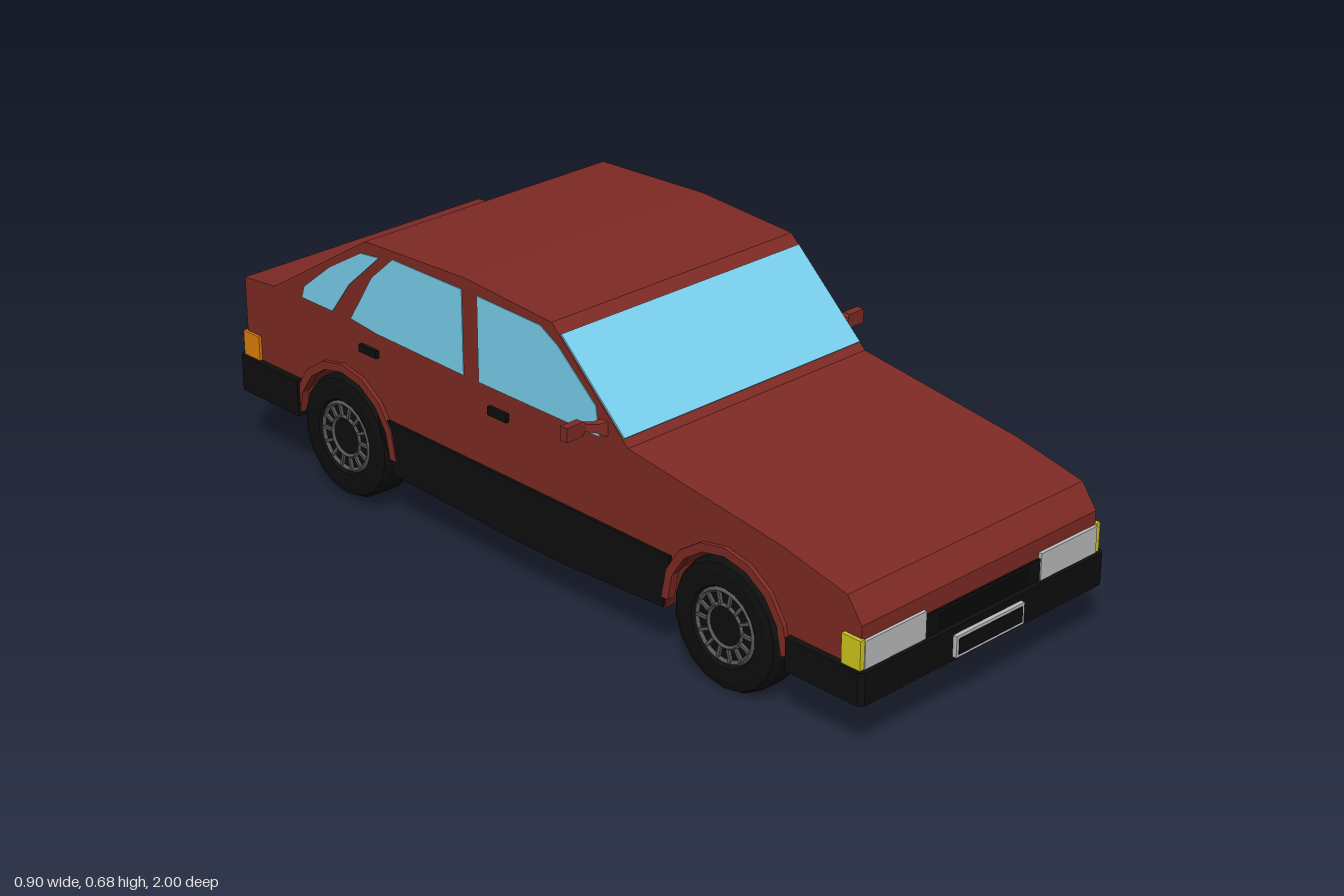
import * as THREE from 'three';

const mat = (color) => new THREE.MeshStandardMaterial({ color, flatShading: true });
const RED = mat(0x7e2a24), BLACK = mat(0x0e0e0e), GLASS = mat(0x78d0ee), GREY = mat(0xbbbbbb),
  RIM = mat(0x555555), YELLOW = mat(0xd0c81c), ORANGE = mat(0xe0800c), LAMP = mat(0xc80c10);

export function createModel() {
  const car = new THREE.Group();
  car.name = 'car';

  const add = (name, geo, material, parent = car) => {
    const m = new THREE.Mesh(geo, material);
    m.name = name;
    parent.add(m);
    return m;
  };
  const box = (name, x0, x1, y0, y1, z0, z1, material) => add(name,
    new THREE.BoxGeometry(x1 - x0, y1 - y0, z1 - z0)
      .translate((x0 + x1) / 2, (y0 + y1) / 2, (z0 + z1) / 2), material);
  // Outline given as [z, y], extruded from x0 to x1
  const profile = (name, pts, x0, x1, material) => {
    const shape = new THREE.Shape(pts.map(([z, y]) => new THREE.Vector2(-z, y)));
    const geo = new THREE.ExtrudeGeometry(shape, { depth: x1 - x0, bevelEnabled: false });
    return add(name, geo.rotateY(Math.PI / 2).translate(x0, 0, 0), material);
  };
  // The same outline on both flanks
  const flanks = (name, pts, x0, x1, material) => {
    profile('left' + name, pts, x0, x1, material);
    profile('right' + name, pts, -x1, -x0, material);
  };
  // Thin pane lying on the slope from a to b
  const pane = (name, a, b, halfWidth, material) => {
    const d = new THREE.Vector2(b[0] - a[0], b[1] - a[1]).normalize().multiplyScalar(0.004);
    const out = ([z, y]) => [z + d.y, y - d.x], inn = ([z, y]) => [z - d.y, y + d.x];
    profile(name, [out(a), out(b), inn(b), inn(a)], -halfWidth, halfWidth, material);
  };
  const arc = (z, y, r, from = Math.PI, to = 0, n = 8) => Array.from({ length: n + 1 }, (_, i) => {
    const a = from + (to - from) * i / n;
    return [z + r * Math.cos(a), y + r * Math.sin(a)];
  });

  const axles = [{ name: 'front', z: 0.6, y: 0.155 }, { name: 'rear', z: -0.62, y: 0.165 }];

  // Body shell with the wheel wells cut across it
  profile('body', [
    [0.97, 0.14], [0.97, 0.3], [0.93, 0.355], [0.75, 0.395], [0.31, 0.455], [0.08, 0.667],
    [-0.2, 0.684], [-0.53, 0.67], [-0.87, 0.46], [-0.98, 0.45], [-0.98, 0.175], [-0.79, 0.16],
    ...arc(-0.62, 0.165, 0.168), [-0.445, 0.13], [-0.1, 0.118], [0.1, 0.115], [0.42, 0.125],
    ...arc(0.6, 0.155, 0.168), [0.78, 0.14],
  ], -0.36, 0.36, RED);

  // Wheel arch lips
  for (const { name, z, y } of axles) {
    flanks(name + 'ArchLip', [...arc(z, y, 0.182), ...arc(z, y, 0.162, 0, Math.PI)], 0.35, 0.37, RED);
  }

  // Sills
  flanks('Sill', [[0.44, 0.255], [0.42, 0.13], [0.1, 0.115], [-0.1, 0.117], [-0.445, 0.128],
    [-0.49, 0.225], [-0.5, 0.258]], 0.35, 0.367, BLACK);

  // Glass
  pane('windshield', [0.294, 0.47], [0.104, 0.645], 0.357, GLASS);
  pane('rearWindow', [-0.57, 0.645], [-0.85, 0.472], 0.325, GLASS);
  flanks('FrontWindow', [[0.225, 0.453], [0.215, 0.52], [0.1, 0.62], [0.045, 0.65],
    [-0.155, 0.655], [-0.155, 0.453]], 0.355, 0.362, GLASS);
  flanks('RearDoorWindow', [[-0.205, 0.655], [-0.435, 0.655], [-0.51, 0.59], [-0.59, 0.467],
    [-0.5, 0.458], [-0.205, 0.453]], 0.355, 0.362, GLASS);
  flanks('QuarterWindow', [[-0.482, 0.645], [-0.545, 0.638], [-0.66, 0.57], [-0.755, 0.495],
    [-0.765, 0.465], [-0.655, 0.465], [-0.59, 0.55]], 0.355, 0.362, GLASS);

  // Bumpers: a bar with returns along the flanks
  const bumper = (name, s, end, back, y0, y1) => {
    const w = 0.376, t = 0.03;
    const u = [[-w, back], [-w, end - 0.01], [-w + 0.01, end], [w - 0.01, end], [w, end - 0.01], [w, back],
      [w - t, back], [w - t, end - t], [-w + t, end - t], [-w + t, back]];
    const shape = new THREE.Shape(u.map(([x, z]) => new THREE.Vector2(x, -s * z)));
    const geo = new THREE.ExtrudeGeometry(shape, { depth: y1 - y0, bevelEnabled: false });
    add(name, geo.rotateX(-Math.PI / 2).translate(0, y0, 0), BLACK);
  };
  bumper('frontBumper', 1, 0.988, 0.78, 0.13, 0.205);
  bumper('rearBumper', -1, 0.998, 0.78, 0.165, 0.255);

  // Grille with slats
  box('grille', -0.18, 0.18, 0.2, 0.255, 0.96, 0.975, BLACK);
  for (let i = 0; i < 3; i++) {
    box('grilleSlat', -0.135, 0.135, 0.212 + i * 0.014, 0.218 + i * 0.014, 0.97, 0.979, BLACK);
  }

  // Number plates with a pale frame
  const plate = (name, w, y0, y1, z, s) => {
    const b = 0.007;
    box(name + 'Frame', -w, w, y0, y1, z - 0.006, z + 0.006, GREY);
    box(name, -w + b, w - b, y0 + b, y1 - b, z + s * 0.004 - 0.004, z + s * 0.004 + 0.004, BLACK);
  };
  plate('frontPlate', 0.105, 0.14, 0.19, 0.992, 1);
  plate('rearPlate', 0.09, 0.262, 0.312, -0.983, -1);

  for (const s of [1, -1]) {
    const side = s > 0 ? 'left' : 'right';
    const sbox = (name, a, b, ...rest) => box(side + name, Math.min(s * a, s * b), Math.max(s * a, s * b), ...rest);

    // Lamps
    sbox('Headlight', 0.177, 0.357, 0.204, 0.268, 0.95, 0.978, GREY);
    sbox('FrontIndicator', 0.357, 0.369, 0.204, 0.272, 0.925, 0.976, YELLOW);
    sbox('RearIndicator', 0.322, 0.367, 0.255, 0.315, -0.988, -0.93, ORANGE);
    sbox('OuterTailLight', 0.262, 0.322, 0.255, 0.31, -0.987, -0.97, LAMP);
    sbox('ReverseLight', 0.228, 0.262, 0.255, 0.31, -0.987, -0.97, GREY);
    sbox('InnerTailLight', 0.17, 0.228, 0.255, 0.31, -0.987, -0.97, LAMP);

    // Door handles
    sbox('FrontHandle', 0.355, 0.37, 0.39, 0.41, -0.12, -0.06, BLACK);
    sbox('RearHandle', 0.355, 0.37, 0.4, 0.418, -0.555, -0.495, BLACK);

    // Mirror: tapered arm, swept back towards the head
    const outline = [[0.355, 0.457], [0.375, 0.47], [0.4, 0.477], [0.403, 0.467], [0.45, 0.467],
      [0.45, 0.5], [0.403, 0.5], [0.398, 0.493], [0.375, 0.491], [0.355, 0.498]];
    const shape = new THREE.Shape(outline.map(([x, y]) => new THREE.Vector2(s * x, y)));
    const geo = new THREE.ExtrudeGeometry(shape, { depth: 0.02, bevelEnabled: false });
    const p = geo.attributes.position;
    for (let i = 0; i < p.count; i++) {
      p.setZ(i, p.getZ(i) + 0.202 + Math.max(0, 0.4 - Math.abs(p.getX(i))) * 0.7);
    }
    geo.computeVertexNormals();
    add(side + 'Mirror', geo, RED);

    // Wheels
    for (const { name, z, y } of axles) {
      const wheel = new THREE.Group();
      wheel.name = side + name + 'Wheel';
      wheel.position.set(s * 0.322, y, z);
      wheel.rotation.y = s * Math.PI / 2; // local +z points outwards
      car.add(wheel);
      const tyre = [[0, -0.045], [0.125, -0.05], [0.142, -0.046], [0.15, -0.03], [0.15, 0.03],
        [0.142, 0.046], [0.125, 0.05], [0.092, 0.049], [0.086, 0.04], [0, 0.04]];
      add('tyre', new THREE.LatheGeometry(tyre.map(([r, h]) => new THREE.Vector2(r, h)), 18)
        .rotateX(Math.PI / 2), BLACK, wheel);
      const ring = (label, r, t) => add(label,
        new THREE.TorusGeometry(r, t, 4, 24).translate(0, 0, 0.042), RIM, wheel);
      ring('rimRing', 0.081, 0.006);
      ring('hubRing', 0.048, 0.005);
      for (let i = 0; i < 14; i++) {
        add('spoke', new THREE.BoxGeometry(0.03, 0.007, 0.008).translate(0.065, 0, 0.043)
          .rotateZ(i * Math.PI / 7), RIM, wheel);
      }
    }
  }
  return car;
}
